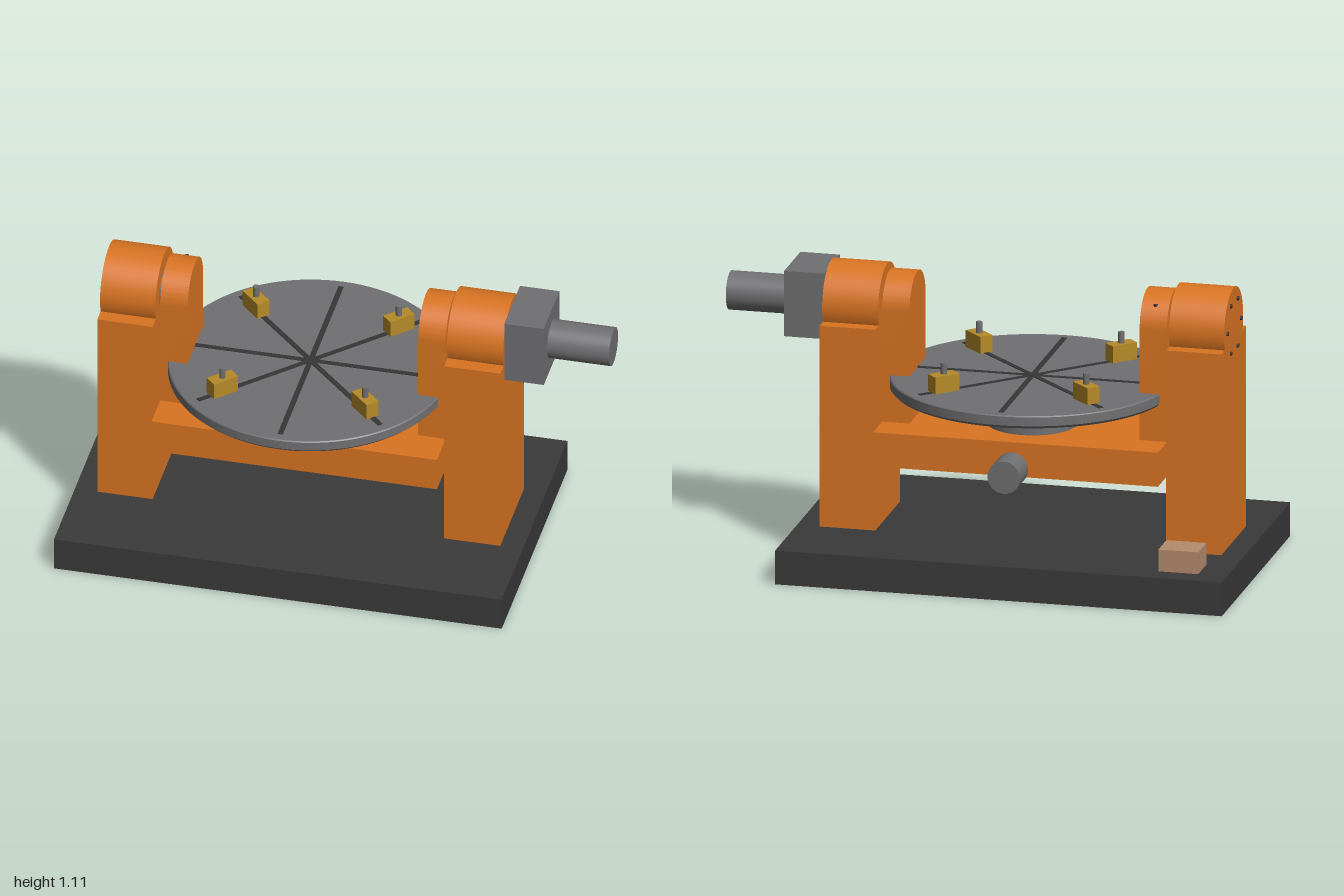
import * as THREE from 'three';
import { toCreasedNormals } from 'three/addons/utils/BufferGeometryUtils.js';

const mat = (name, color) => {
  const m = new THREE.MeshStandardMaterial({ color });
  m.name = name;
  return m;
};

export function createModel() {
  const group = new THREE.Group();
  const orange = mat('orange paint', 0xd97422);
  const dark = mat('dark base', 0x3a3a3a);
  const grey = mat('grey steel', 0x707072);
  const slotDark = mat('slot dark', 0x363636);
  const gold = mat('clamp brass', 0xb58a28);
  const tan = mat('tan block', 0xb58c6c);

  const add = (name, geo, material, x = 0, y = 0, z = 0, parent = group) => {
    const mesh = new THREE.Mesh(geo, material);
    mesh.name = name;
    mesh.position.set(x, y, z);
    parent.add(mesh);
    return mesh;
  };
  // box given by its extents
  const box = (name, material, x0, x1, y0, y1, z0, z1) =>
    add(name, new THREE.BoxGeometry(x1 - x0, y1 - y0, z1 - z0), material,
      (x0 + x1) / 2, (y0 + y1) / 2, (z0 + z1) / 2);
  // cylinder lying along x
  const cylX = (name, material, r, x0, x1, y, z = 0, seg = 48) =>
    add(name, new THREE.CylinderGeometry(r, r, x1 - x0, seg).rotateZ(Math.PI / 2), material,
      (x0 + x1) / 2, y, z);

  const axisY = 0.96;   // tilt axis height
  const cx = -0.15;     // table centre

  box('base', dark, -1, 0.7, 0, 0.13, -0.528, 0.528);

  // columns with bearing housings
  for (const [side, x0, x1] of [['right', -0.915, -0.705], ['left', 0.402, 0.615]]) {
    box(side + 'Column', orange, x0, x1, 0.13, 0.905, -0.19, 0.19);
    cylX(side + 'BearingHousing', orange, 0.147, x0, x1, axisY);
  }

  // cradle beam and round-topped arms
  box('cradleBeam', orange, -0.692, 0.392, 0.4, 0.532, -0.265, 0.265);
  const armShape = new THREE.Shape();
  armShape.moveTo(-0.125, 0.532);
  armShape.lineTo(0.125, 0.532);
  armShape.lineTo(0.125, axisY);
  armShape.absarc(0, axisY, 0.125, 0, Math.PI, false);
  armShape.closePath();
  const armGeo = toCreasedNormals(
    new THREE.ExtrudeGeometry(armShape, { depth: 0.104, bevelEnabled: false, curveSegments: 28 })
      .rotateY(Math.PI / 2), 0.5);
  add('rightArm', armGeo, orange, -0.692);
  add('leftArm', armGeo, orange, 0.288);

  // short shafts joining arms and housings
  cylX('rightShaft', grey, 0.08, -0.71, -0.69, axisY);
  cylX('leftShaft', grey, 0.08, 0.39, 0.405, axisY);

  // gearbox and drive motor
  box('gearbox', grey, 0.615, 0.765, 0.835, 1.087, -0.126, 0.126);
  cylX('driveMotor', grey, 0.073, 0.765, 1, axisY);

  // bolts on the outer bearing face, and one screw on the arm
  for (let i = 0; i < 6; i++) {
    const a = (i * Math.PI) / 3;
    cylX('housingBolt', slotDark, 0.008, -0.922, -0.912,
      axisY + 0.105 * Math.sin(a), 0.105 * Math.cos(a), 12);
  }
  add('armScrew', new THREE.CylinderGeometry(0.008, 0.008, 0.012, 12), slotDark, -0.64, 1.044, -0.088);

  // turntable hub and chamfered plate
  add('tableHub', new THREE.CylinderGeometry(0.168, 0.168, 0.108, 64), grey, cx, 0.586, 0);
  const profile = [[0, 0.665], [0.517, 0.665], [0.528, 0.676], [0.528, 0.71], [0.524, 0.714], [0, 0.714]]
    .map(([r, y]) => new THREE.Vector2(r, y));
  add('turntable', toCreasedNormals(new THREE.LatheGeometry(profile, 96), 0.5), grey, cx);

  // slots across the plate
  for (let i = 0; i < 4; i++) {
    const slot = add('tableSlot', new THREE.BoxGeometry(0.98, 0.004, 0.02), slotDark, cx, 0.714, 0);
    slot.rotation.y = (i * Math.PI) / 4;
  }

  // clamps with studs on the diagonal slots
  for (let i = 0; i < 4; i++) {
    const clamp = new THREE.Group();
    clamp.name = 'clamp';
    clamp.position.set(cx, 0, 0);
    clamp.rotation.y = Math.PI / 4 + (i * Math.PI) / 2;
    add('clampBlock', new THREE.BoxGeometry(0.105, 0.065, 0.052), gold, 0.383, 0.747, 0, clamp);
    add('clampStud', new THREE.CylinderGeometry(0.012, 0.012, 0.044, 16), grey, 0.383, 0.8, 0, clamp);
    group.add(clamp);
  }

  // rear motor and terminal block
  add('rearMotor', new THREE.CylinderGeometry(0.062, 0.062, 0.125, 40).rotateX(Math.PI / 2),
    grey, cx, 0.448, -0.382);
  box('terminalBlock', tan, -0.89, -0.738, 0.13, 0.214, -0.445, -0.32);

  return group;
}
